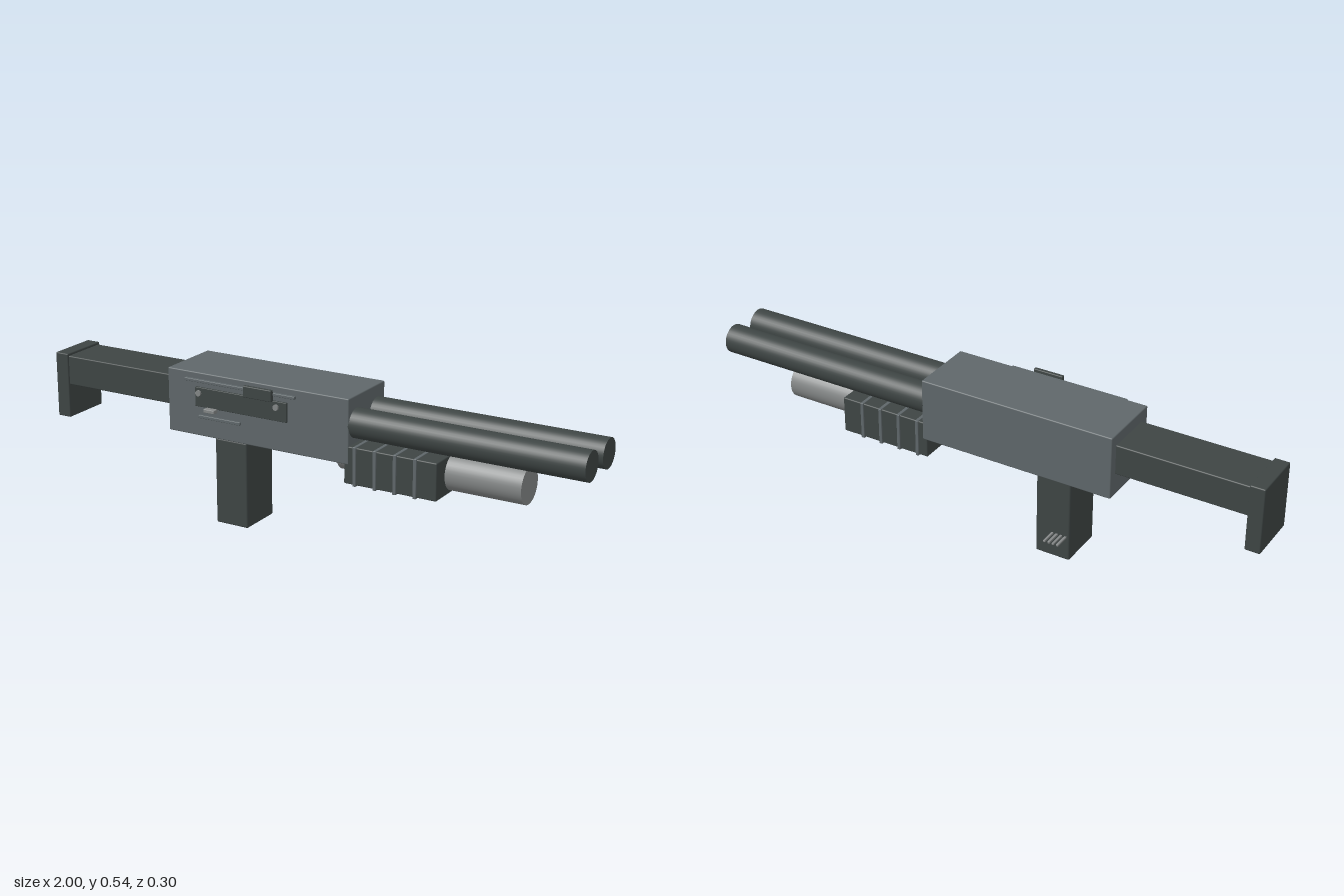
import * as THREE from 'three';
import { RoundedBoxGeometry } from 'three/addons/geometries/RoundedBoxGeometry.js';

const material = (name, color) => {
  const m = new THREE.MeshStandardMaterial({ color });
  m.name = name;
  return m;
};

export function createModel() {
  const group = new THREE.Group();
  const steel = material('slate steel', 0x5f676a);
  const dark = material('dark polymer', 0x3e4544);
  const bright = material('bright steel', 0x848787);
  const black = material('blackened metal', 0x2f3535);

  const add = (name, geometry, mat, x, y, z) => {
    const mesh = new THREE.Mesh(geometry, mat);
    mesh.name = name;
    mesh.position.set(x, y, z);
    group.add(mesh);
    return mesh;
  };
  // Softly bevelled block given by its limits on each axis
  const block = (name, mat, [x0, x1], [y0, y1], [z0, z1], bevel = 0.004) => {
    const w = x1 - x0, h = y1 - y0, d = z1 - z0;
    const r = Math.min(bevel, w * 0.25, h * 0.25, d * 0.25);
    return add(name, new RoundedBoxGeometry(w, h, d, 2, r), mat, (x0 + x1) / 2, (y0 + y1) / 2, (z0 + z1) / 2);
  };
  // Cylinder lying along x
  const rodX = (name, mat, r, x0, x1, y, z, sides = 40) =>
    add(name, new THREE.CylinderGeometry(r, r, x1 - x0, sides).rotateZ(-Math.PI / 2), mat, (x0 + x1) / 2, y, z);

  // Main body and stock
  block('receiver', steel, [-0.5, 0.195], [0.315, 0.535], [-0.149, 0.087]);
  block('stock', dark, [-0.955, -0.495], [0.393, 0.497], [-0.121, 0.05]);
  block('buttPlate', dark, [-1, -0.948], [0.274, 0.505], [-0.127, 0.056]);

  // Twin barrels above the magazine tube
  for (const z of [0.037, -0.099]) rodX('barrel', dark, 0.05, 0.18, 1, 0.444, z);
  rodX('magazineTube', bright, 0.0625, 0.118, 0.772, 0.318, -0.031);

  // Pump with raised ribs
  block('pump', dark, [0.178, 0.51], [0.25, 0.377], [-0.148, 0.086]);
  for (const x of [0.217, 0.29, 0.362, 0.434])
    block('pumpRib', steel, [x - 0.006, x + 0.006], [0.246, 0.379], [-0.152, 0.09], 0.002);

  // Grip with short pins on its back
  block('grip', dark, [-0.34, -0.215], [0, 0.303], [-0.111, 0.05], 0.006);
  for (let i = 0; i < 4; i++) {
    const x = -0.325 + i * 0.016;
    block('gripPin', bright, [x - 0.004, x + 0.004], [0.084, 0.091], [-0.166, -0.1], 0.001);
  }

  // Trigger plate under the receiver
  block('triggerPlate', dark, [-0.22, -0.025], [0.304, 0.316], [-0.085, 0.024], 0.002);
  block('triggerRecess', black, [-0.198, -0.047], [0.301, 0.305], [-0.067, 0.006], 0.001);

  // Side panel with bolt, rail, screws and catches
  block('sidePanel', dark, [-0.381, -0.026], [0.423, 0.49], [0.095, 0.104], 0.002);
  block('boltHandle', dark, [-0.178, -0.07], [0.492, 0.531], [0.113, 0.127], 0.003);
  block('sideRail', steel, [-0.415, 0.01], [0.51, 0.52], [0.103, 0.115], 0.002);
  for (const x of [-0.357, -0.057])
    add('screw', new THREE.CylinderGeometry(0.01, 0.01, 0.007, 20).rotateX(Math.PI / 2), bright, x, 0.475, 0.12);
  block('catch', bright, [-0.33, -0.288], [0.416, 0.428], [0.11, 0.133], 0.002);
  block('lowerRail', steel, [-0.355, -0.192], [0.391, 0.402], [0.117, 0.125], 0.002);

  return group;
}
